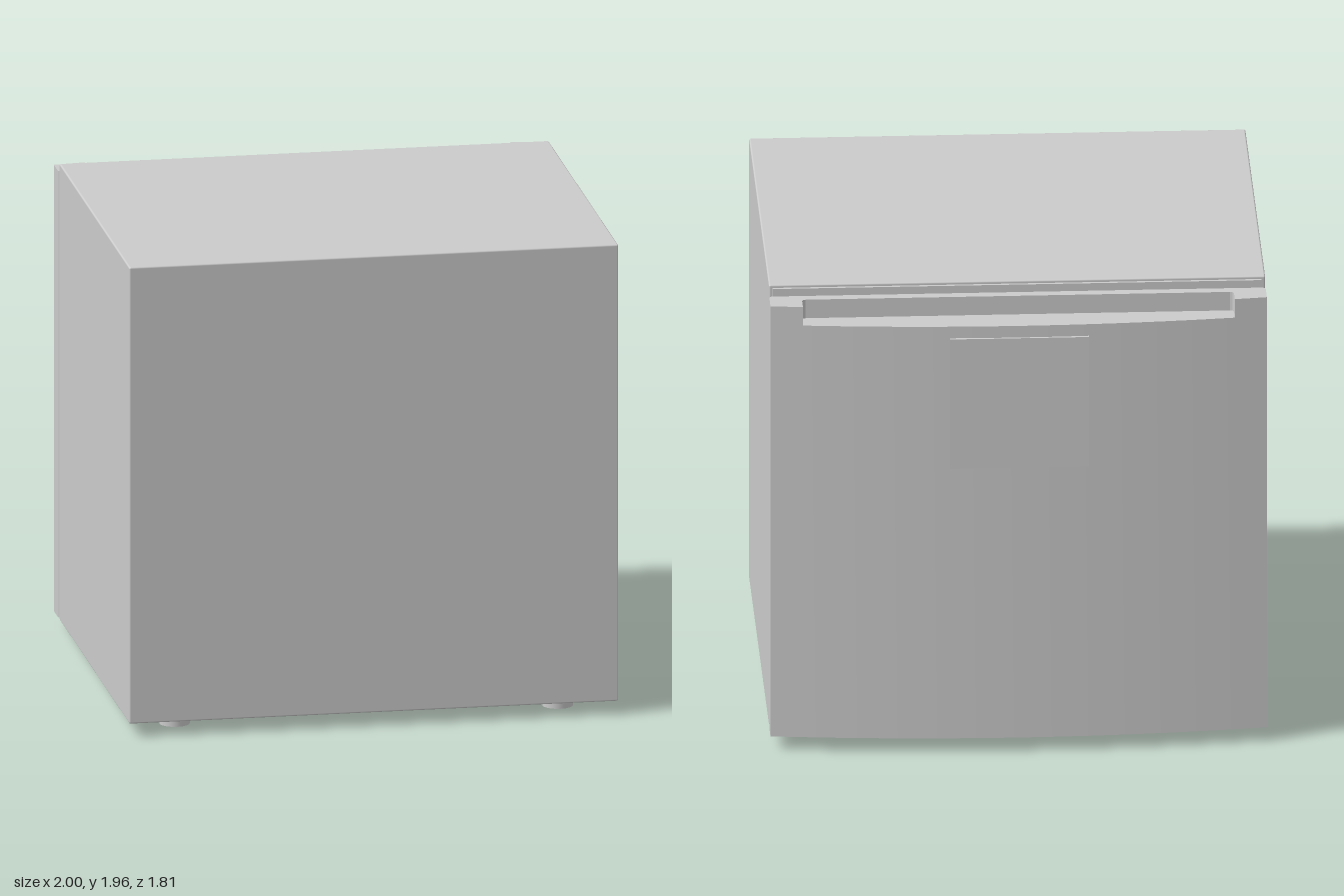
import * as THREE from 'three';
import { toCreasedNormals } from 'three/addons/utils/BufferGeometryUtils.js';
import { RoundedBoxGeometry } from 'three/addons/geometries/RoundedBoxGeometry.js';

const grey = new THREE.MeshStandardMaterial({ color: 0xcccccc });
const thin = new THREE.MeshStandardMaterial({ color: 0xcccccc, side: THREE.DoubleSide });
const black = new THREE.MeshStandardMaterial({ color: 0x151515 });

// Depth (towards -z) of the bowed door face at a given x
const bow = (x) => 0.895 - 0.062 * x * x;

// Points along the bowed face between two x positions
function bowPoints(x0, x1, n) {
  const pts = [];
  for (let i = 0; i <= n; i++) {
    const x = x0 + ((x1 - x0) * i) / n;
    pts.push(new THREE.Vector2(x, bow(x)));
  }
  return pts;
}

// Extrude a plan outline (x, depth) upwards from y0 to y1
function extrudePlan(points, y0, y1) {
  const geo = new THREE.ExtrudeGeometry(new THREE.Shape(points), { depth: y1 - y0, bevelEnabled: false });
  geo.rotateX(-Math.PI / 2);
  geo.translate(0, y0, 0);
  return toCreasedNormals(geo, 0.4);
}

export function createModel() {
  const model = new THREE.Group();
  const add = (name, geo, mat, x = 0, y = 0, z = 0, parent = model) => {
    const mesh = new THREE.Mesh(geo, mat);
    mesh.name = name;
    mesh.position.set(x, y, z);
    parent.add(mesh);
    return mesh;
  };

  // Cabinet and the slightly inset rim facing the door
  add('cabinet', new RoundedBoxGeometry(2, 1.905, 1.605, 2, 0.007), grey, 0, 1.0075, 0.1);
  add('cabinetRim', new THREE.BoxGeometry(1.97, 1.88, 0.02), grey, 0, 1.0075, -0.705);

  // Door: bowed slab with a grip recess cut into its top
  const door = new THREE.Group();
  door.name = 'door';
  model.add(door);
  const V = (x, d) => new THREE.Vector2(x, d);
  const inner = 0.727, edge = 0.87, back = 0.768, floor = 1.84, top = 1.92, r = 0.015;
  add('doorPanel', extrudePlan(
    [V(-0.99, inner), V(0.99, inner), V(1, inner + 0.01), ...bowPoints(1, -1, 40), V(-1, inner + 0.01)],
    0.058, floor), grey, 0, 0, 0, door);
  add('doorTopGrip', extrudePlan([
    V(-0.99, inner), V(0.99, inner), V(1, inner + 0.01),
    ...bowPoints(1, edge, 4),
    V(edge, back + r), V(edge - r * 0.3, back + r * 0.3), V(edge - r, back),
    V(-edge + r, back), V(-edge + r * 0.3, back + r * 0.3), V(-edge, back + r),
    ...bowPoints(-edge, -1, 4), V(-1, inner + 0.01),
  ], floor, top), grey, 0, 0, 0, door);

  // Square plate on the door face
  add('doorPlate', new THREE.BoxGeometry(0.56, 0.56, 0.035), grey, 0, 1.51, -0.8865, door);

  // Feet, the front pair with a grey half-round cover
  for (const x of [-0.783, 0.783]) {
    for (const z of [0.722, -0.605]) {
      add('foot', new THREE.CylinderGeometry(0.055, 0.055, 0.06, 24), black, x, 0.03, z);
    }
    add('frontFootCover',
      new THREE.CylinderGeometry(0.062, 0.062, 0.058, 16, 1, true, -Math.PI / 2, Math.PI), thin, x, 0.03, 0.722);
  }
  return model;
}
